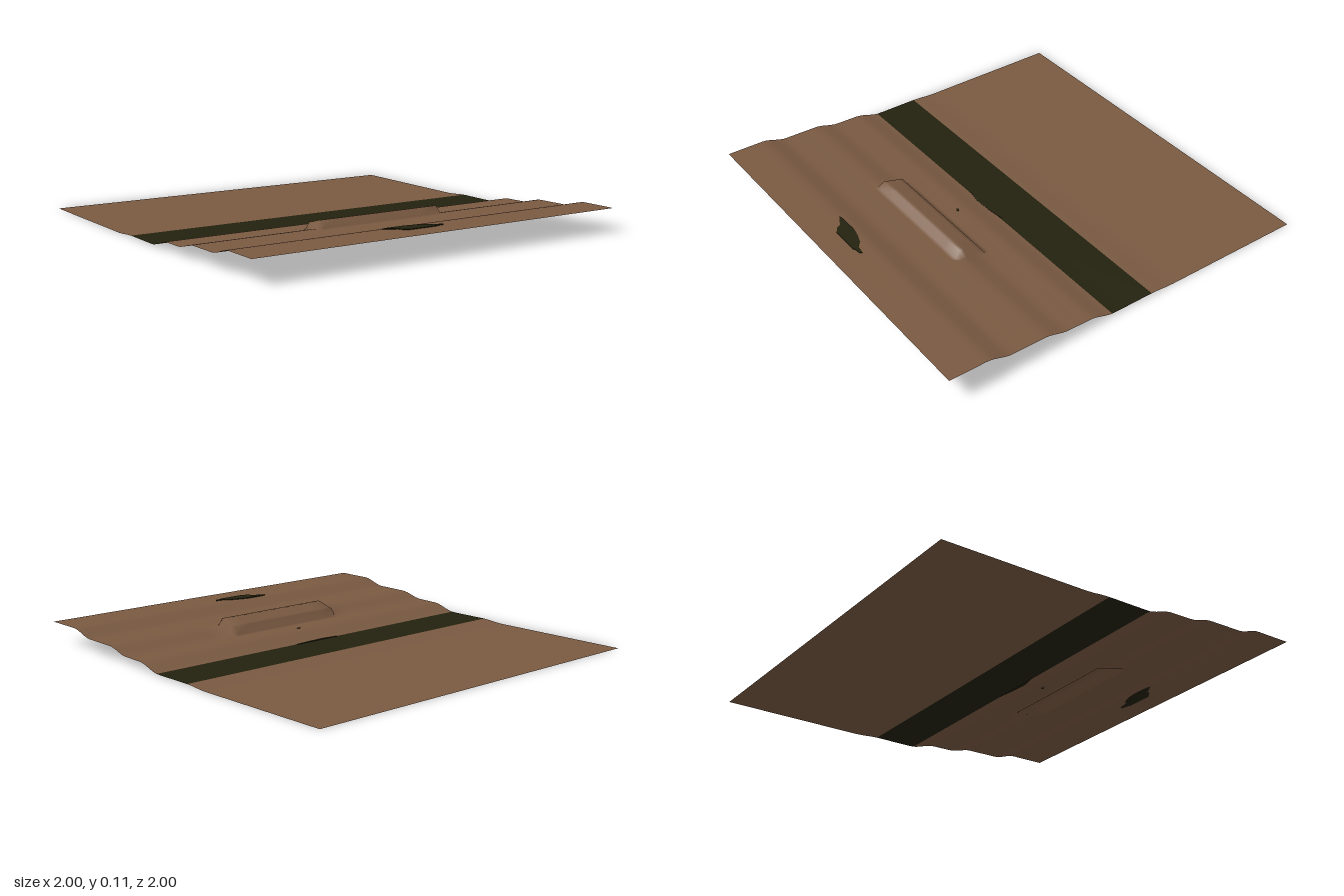
import * as THREE from 'three';

// Terrace profile: [z, height], eased between the keys
const KEYS = [[-1, 0], [-0.25, 0], [-0.12, 0.009], [0.1, 0.009], [0.25, 0.043],
  [0.36, 0.045], [0.5, 0.074], [0.67, 0.076], [0.81, 0.109], [1, 0.11]];

function ground(z) {
  for (let i = 1; i < KEYS.length; i++) {
    const [z0, y0] = KEYS[i - 1], [z1, y1] = KEYS[i];
    if (z <= z1) return y0 + (y1 - y0) * THREE.MathUtils.smoothstep(z, z0, z1);
  }
  return 0.11;
}

// Bevelled rectangular mound pressed up out of the terraces
const ramp = (v, a, b) => THREE.MathUtils.clamp((v - a) / (b - a), 0, 1);
function mound(x, z) {
  const across = 1 - ramp(Math.abs(x), 0.33, 0.355);
  const along = Math.min(ramp(z, 0.355, 0.38), 1 - ramp(z, 0.485, 0.508));
  return 0.038 * Math.min(across, along);
}

// Evenly spaced stations between each pair of break points
function stations(breaks, step) {
  const out = [breaks[0]];
  for (let i = 1; i < breaks.length; i++) {
    const a = breaks[i - 1], b = breaks[i], n = Math.max(1, Math.round((b - a) / step));
    for (let k = 1; k <= n; k++) out.push(a + (b - a) * k / n);
  }
  return out;
}

// Open height-field sheet over the given stations
function sheet(xs, zs) {
  const geo = new THREE.PlaneGeometry(1, 1, xs.length - 1, zs.length - 1);
  const pos = geo.attributes.position;
  zs.forEach((z, j) => xs.forEach((x, i) =>
    pos.setXYZ(j * xs.length + i, x, ground(z) + mound(x, z), z)));
  geo.computeVertexNormals();
  return geo;
}

export function createModel() {
  const model = new THREE.Group();
  const soil = new THREE.MeshStandardMaterial({ color: 0x7a5a42, side: THREE.DoubleSide });
  soil.name = 'brown soil';
  const dark = new THREE.MeshStandardMaterial({ color: 0x23210e, side: THREE.DoubleSide });
  dark.name = 'dark moss';
  const add = (name, geo, mat) => {
    const mesh = new THREE.Mesh(geo, mat);
    mesh.name = name;
    model.add(mesh);
    return mesh;
  };

  // Ground sheets on both sides of the dark channel
  const xs = stations([-1, -0.355, -0.33, 0.33, 0.355, 1], 0.1);
  add('backGround', sheet(xs, stations([-1, -0.25, -0.12], 0.04)), soil);
  add('terracedGround', sheet(xs, stations([0.115, 0.25, 0.355, 0.38, 0.485, 0.508, 0.67, 0.81, 1], 0.02)), soil);
  add('channel', sheet(xs, stations([-0.12, 0.115], 0.04)), dark);

  // Thin dark patches straddling the ground so both faces show
  const patch = (name, points, y) => {
    const shape = new THREE.Shape(points.map(([x, z]) => new THREE.Vector2(x, -z)));
    const geo = new THREE.ExtrudeGeometry(shape, { depth: 0.006, bevelEnabled: false });
    geo.rotateX(-Math.PI / 2).translate(0, y - 0.003, 0);
    add(name, geo, dark);
  };
  patch('upperPatch', [[-0.22, 0.805], [-0.19, 0.8], [-0.1, 0.8], [-0.05, 0.808], [0, 0.825],
    [0.03, 0.85], [0.08, 0.858], [0.07, 0.87], [0.04, 0.873], [0.03, 0.88], [-0.12, 0.88],
    [-0.15, 0.86], [-0.16, 0.838], [-0.2, 0.818]], 0.1095);
  patch('smallSpot', [[-0.012, 0.27], [0, 0.262], [0.012, 0.27], [0, 0.278]], 0.0435);

  // Slight bulge of the channel edge, lying on the first slope
  const bulge = new THREE.Shape([[-0.12, -0.11], [0.15, -0.11], [0.06, -0.122], [-0.04, -0.127]]
    .map(([x, y]) => new THREE.Vector2(x, y)));
  const edge = new THREE.ExtrudeGeometry(bulge, { depth: 0.005, bevelEnabled: false });
  edge.rotateX(-Math.PI / 2).translate(0, 0.0075, 0);
  add('channelEdge', edge, dark);
  return model;
}
